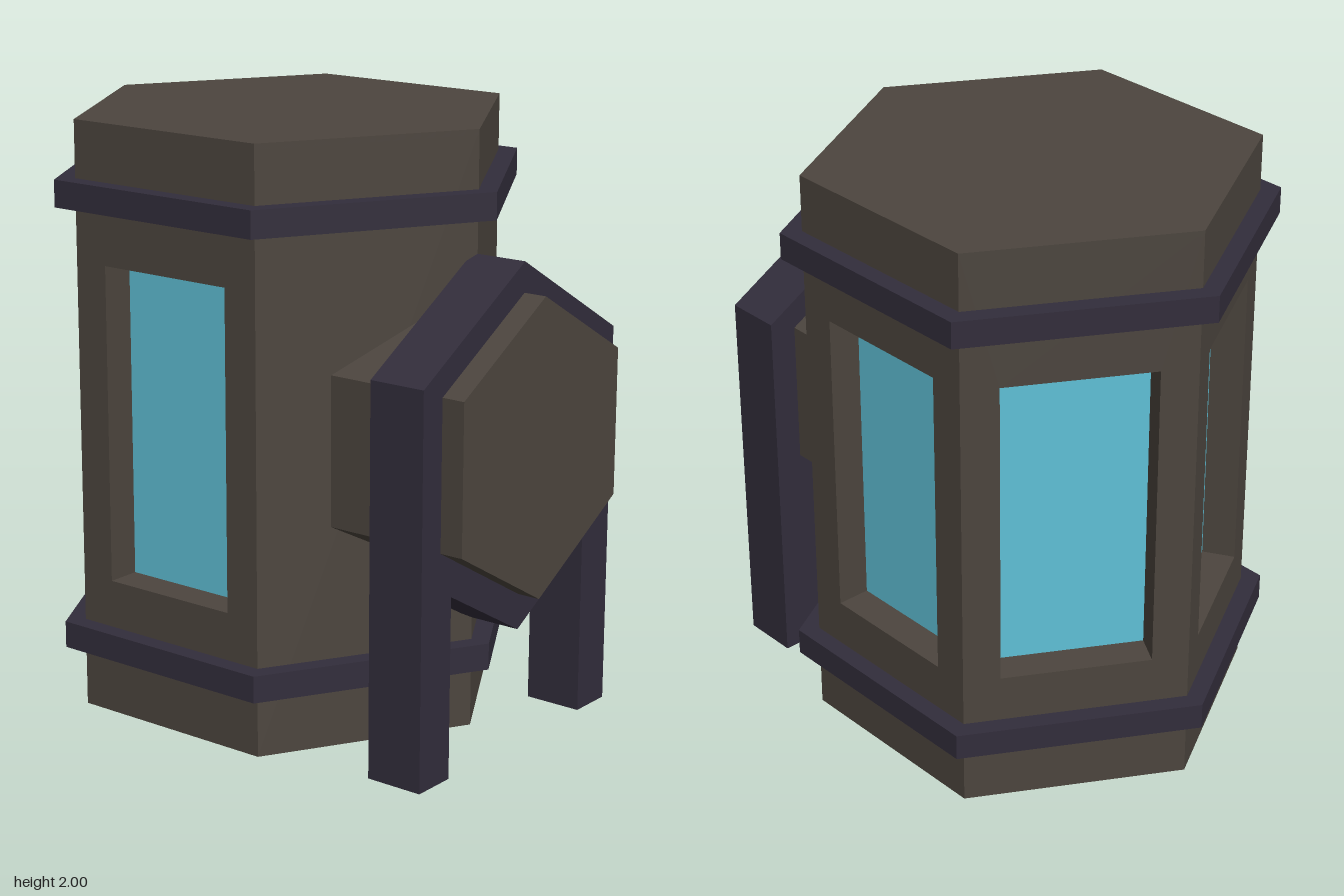
import * as THREE from 'three';

const material = (color) => new THREE.MeshStandardMaterial({ color, flatShading: true });

// Corners of a hexagon with a point at the top and bottom
const hexagon = (r, cy = 0) => Array.from({ length: 6 }, (_, i) => {
  const a = Math.PI / 2 + i * Math.PI / 3;
  return new THREE.Vector2(r * Math.cos(a), cy + r * Math.sin(a));
});

function extrude(points, hole, depth) {
  const shape = new THREE.Shape(points);
  if (hole) shape.holes.push(new THREE.Path(hole));
  return new THREE.ExtrudeGeometry(shape, { depth, bevelEnabled: false });
}

const rect = (w, y0, y1) => [[-w / 2, y0], [w / 2, y0], [w / 2, y1], [-w / 2, y1]]
  .map(([x, y]) => new THREE.Vector2(x, y));

export function createModel() {
  const model = new THREE.Group();
  const shell = material(0x4c453e);
  const trim = material(0x322d3b);
  const glass = material(0x5fc0d6);
  const add = (parent, name, geometry, mat) => {
    const mesh = new THREE.Mesh(geometry, mat);
    mesh.name = name;
    parent.add(mesh);
    return mesh;
  };

  // Hexagonal tower, with a corner facing the front
  const R = 0.745, apothem = R * Math.cos(Math.PI / 6);
  const bottom = 0.02, top = 2, recess = 0.115;
  const winBottom = 0.48, winTop = 1.54, winWidth = 0.5;
  const tower = new THREE.Group();
  tower.name = 'tower';
  tower.position.z = -0.095;
  model.add(tower);

  for (let i = 0; i < 6; i++) {
    const side = new THREE.Group();
    side.name = 'towerSide';
    side.rotation.y = Math.PI / 6 + i * Math.PI / 3;
    tower.add(side);
    // The two front sides are plain; the other four have recessed windows
    const windowed = i !== 0 && i !== 5;
    const wall = extrude(rect(R, bottom, top), windowed && rect(winWidth, winBottom, winTop), recess);
    add(side, 'wallPanel', wall, shell).position.z = apothem - recess;
    if (windowed) {
      const pane = add(side, 'windowPane', new THREE.PlaneGeometry(winWidth, winTop - winBottom), glass);
      pane.position.set(0, (winBottom + winTop) / 2, apothem - recess + 0.001);
    }
  }

  // Roof and floor slabs
  for (const [name, y] of [['roof', top - 0.01], ['floor', bottom + 0.01]]) {
    add(tower, name, new THREE.CylinderGeometry(R, R, 0.02, 6), shell).position.y = y;
  }

  // Bands around the tower
  for (const [name, y] of [['lowerBand', 0.23], ['upperBand', 1.72]]) {
    const band = extrude(hexagon(0.815), hexagon(R - 0.01), 0.09).rotateX(-Math.PI / 2);
    add(tower, name, band, trim).position.y = y;
  }

  // Hexagonal hatch pushed out of the front corner
  const hatchY = 1.01;
  add(model, 'frontHatch', extrude(hexagon(0.495, hatchY), null, 0.51), shell).position.z = 0.4;

  // Frame around the hatch, with its sides running down as legs
  const half = [[0.525, 1.3], [0.525, 0], [0.37, 0], [0.37, 0.606]];
  const outline = [
    [0, 1.605], ...half, [0, 0.395],
    ...half.map(([x, y]) => [-x, y]).reverse(),
  ].map(([x, y]) => new THREE.Vector2(x, y));
  add(model, 'hatchFrame', extrude(outline, hexagon(0.49, hatchY), 0.2), trim).position.z = 0.63;

  return model;
}
